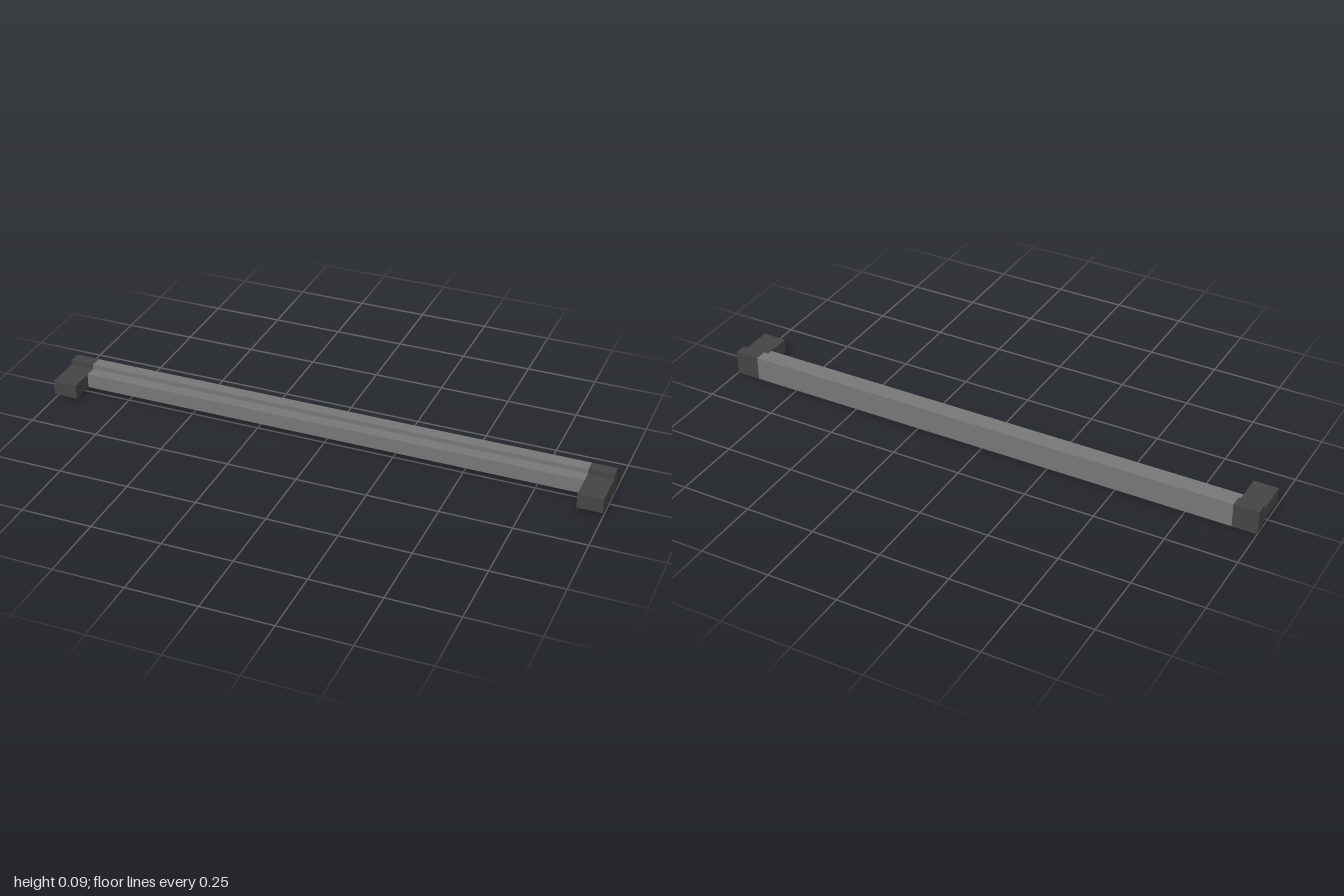
import * as THREE from 'three';

const BACK = -0.087, STEP = -0.043;   // depth range of the wide flange
const HEIGHT = 0.087, LOW = 0.018, HIGH = 0.07;
const END = 0.088;                    // width of each end bracket

// T-shaped section, extruded along x; the tongue reaches forward to z = front
function tBar(front, length) {
  const points = [
    [BACK, 0], [STEP, 0], [STEP, LOW], [front, LOW],
    [front, HIGH], [STEP, HIGH], [STEP, HEIGHT], [BACK, HEIGHT],
  ].map(([z, y]) => new THREE.Vector2(-z, y));
  const geometry = new THREE.ExtrudeGeometry(new THREE.Shape(points), { depth: length, bevelEnabled: false });
  geometry.translate(0, 0, -length / 2);
  geometry.rotateY(Math.PI / 2);      // section x becomes -z, extrusion runs along x
  return geometry;
}

export function createModel() {
  const group = new THREE.Group();
  const railMaterial = new THREE.MeshStandardMaterial({ color: 0x777777 });
  const endMaterial = new THREE.MeshStandardMaterial({ color: 0x444444 });

  // Long rail between the brackets
  const rail = new THREE.Mesh(tBar(0, 2 - 2 * END), railMaterial);
  rail.name = 'rail';
  group.add(rail);

  // End brackets with longer tongues
  const endGeometry = tBar(0.087, END);
  for (const [name, side] of [['leftBracket', 1], ['rightBracket', -1]]) {
    const bracket = new THREE.Mesh(endGeometry, endMaterial);
    bracket.name = name;
    bracket.position.x = side * (1 - END / 2);
    group.add(bracket);
  }
  return group;
}
